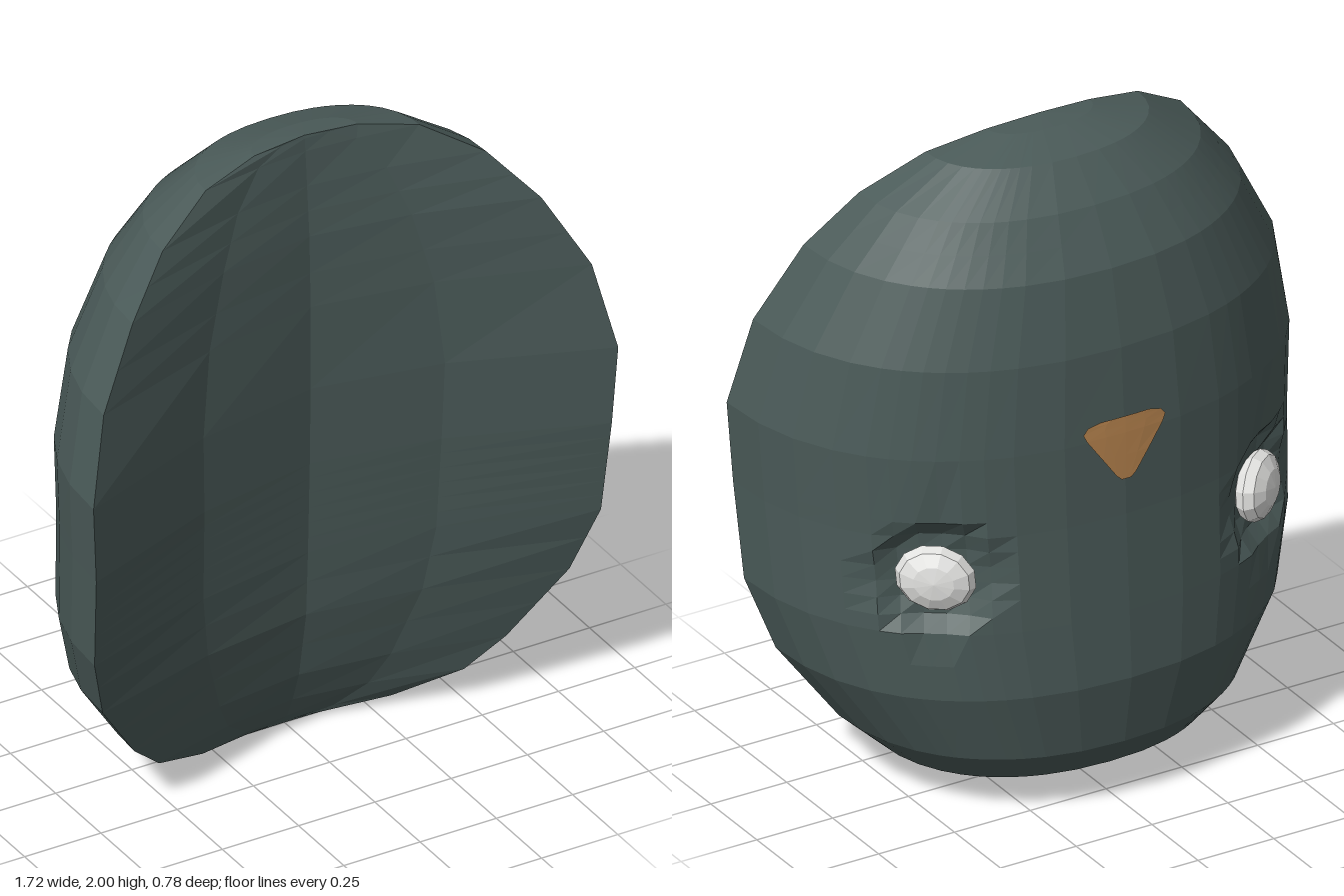
import * as THREE from 'three';

// Profile of the shell: height, half width, rim z, back centre z, front centre z
const PROFILE = [
  [0, 0, 0, 0, 0],
  [0.006, 0.13, 0.01, -0.02, 0.002],
  [0.03, 0.31, 0.07, -0.09, 0.015],
  [0.10, 0.50, 0.15, -0.275, 0.045],
  [0.20, 0.61, 0.197, -0.352, 0.08],
  [0.42, 0.765, 0.285, -0.39, 0.12],
  [0.63, 0.83, 0.35, -0.378, 0.13],
  [0.93, 0.845, 0.385, -0.36, 0.14],
  [1.18, 0.86, 0.395, -0.352, 0.145],
  [1.45, 0.80, 0.35, -0.333, 0.145],
  [1.68, 0.67, 0.29, -0.282, 0.138],
  [1.84, 0.53, 0.22, -0.19, 0.125],
  [1.95, 0.35, 0.155, -0.09, 0.116],
  [1.99, 0.17, 0.12, 0.03, 0.112],
  [2, 0, 0.11, 0.11, 0.11],
];
const POWER = 2.2; // slightly boxy ellipse across the back
const EYE = new THREE.Vector3(0.54, 0.8, -0.21);
const EYE_DIR = new THREE.Vector3(0.61, 0.08, -0.79).normalize();

function profileAt(y) {
  let i = 1;
  while (i < PROFILE.length - 1 && PROFILE[i][0] < y) i++;
  const a = PROFILE[i - 1], b = PROFILE[i];
  const t = (y - a[0]) / (b[0] - a[0]);
  return a.map((v, k) => v + (b[k] - v) * t);
}

// Depth of the rounded back at a given x and y
function backZ(x, y) {
  const [, w, rim, back] = profileAt(y);
  const u = w > 0 ? Math.min(1, Math.abs(x) / w) : 0;
  return rim + (back - rim) * Math.pow(1 - Math.pow(u, POWER), 1 / POWER);
}

// Faceted surface through rows of points
function loft(rows, closed) {
  const n = rows[0].length, index = [];
  for (let j = 0; j < rows.length - 1; j++) {
    for (let i = 0; i < (closed ? n : n - 1); i++) {
      const a = j * n + i, b = j * n + (i + 1) % n;
      index.push(a, a + n, b, b, a + n, b + n);
    }
  }
  const indexed = new THREE.BufferGeometry().setFromPoints(rows.flat());
  indexed.setIndex(index);
  const geometry = indexed.toNonIndexed();
  geometry.computeVertexNormals();
  return geometry;
}

// Press a shallow socket into the back around each eye
function pressSocket(p) {
  const side = p.x < 0 ? -1 : 1;
  const d = Math.hypot((Math.abs(p.x) - EYE.x) * 1.05, p.y - EYE.y, (p.z - EYE.z) * 0.9);
  const k = THREE.MathUtils.clamp((0.19 - d) / 0.055, 0, 1) * 0.05;
  p.x -= side * EYE_DIR.x * k;
  p.y -= EYE_DIR.y * k;
  p.z -= EYE_DIR.z * k;
  return p;
}

function shellGeometry() {
  const half = [11, 21, 27, 32, 37, 42, 47, 52, 60, 70, 80, 90];
  const angles = [...half.map((a) => -a).reverse(), 0, ...half];
  const extra = [0.31, 0.53, 0.68, 0.73, 0.78, 0.83, 0.88, 0.98, 1.56, 1.76];
  const heights = [...PROFILE.map((r) => r[0]), ...extra].sort((a, b) => a - b);
  const rows = heights.map((y) => {
    const [, w, rim, , centre] = profileAt(y);
    const back = angles.map((deg) => {
      const s = Math.sin(THREE.MathUtils.degToRad(deg));
      const x = w * Math.sign(s) * Math.pow(Math.abs(s), 2 / POWER);
      return pressSocket(new THREE.Vector3(x, y, backZ(x, y)));
    });
    // Hollowed front, bent in three creases
    const front = [0.46, 0, -0.46].map((u) =>
      new THREE.Vector3(u * w, y, centre + (rim - centre) * (u ? 0.3 : 0)));
    return [...back, ...front];
  });
  return loft(rows, true);
}

// Rounded triangle lying on the forehead
function markGeometry() {
  const outline = [[1.045, 0.015], [1.06, 0.032], [1.12, 0.075], [1.19, 0.125],
    [1.212, 0.135], [1.23, 0.12], [1.24, 0.08]];
  return loft(outline.map(([y, w]) => [-1, -0.5, 0, 0.5, 1].map((u) =>
    new THREE.Vector3(u * w, y, backZ(u * w, y) - 0.006))), false);
}

function eyeGeometry() {
  const g = new THREE.SphereGeometry(1, 12, 6);
  g.rotateX(Math.PI / 2);
  g.scale(0.118, 0.1, 0.055);
  const flat = g.toNonIndexed();
  flat.computeVertexNormals();
  return flat;
}

export function createModel() {
  const shellMat = new THREE.MeshStandardMaterial({ color: 0x4a5a58 });
  shellMat.name = 'dark grey green';
  const eyeMat = new THREE.MeshStandardMaterial({ color: 0xe0e0de });
  eyeMat.name = 'pale grey';
  const markMat = new THREE.MeshStandardMaterial({ color: 0xb9854f });
  markMat.name = 'tan';

  const group = new THREE.Group();
  group.name = 'mask';
  const add = (name, geometry, material) => {
    const mesh = new THREE.Mesh(geometry, material);
    mesh.name = name;
    group.add(mesh);
    return mesh;
  };

  add('shell', shellGeometry(), shellMat);
  add('foreheadMark', markGeometry(), markMat);

  // Lens eyes, mirrored and leaning towards the middle
  for (const side of [1, -1]) {
    const eye = add(side > 0 ? 'leftEye' : 'rightEye', eyeGeometry(), eyeMat);
    const mirror = new THREE.Vector3(side, 1, 1);
    const direction = EYE_DIR.clone().multiply(mirror);
    eye.position.copy(EYE).multiply(mirror).addScaledVector(direction, -0.015);
    eye.lookAt(eye.position.clone().add(direction));
    eye.rotateZ(-0.2 * side);
  }
  return group;
}
